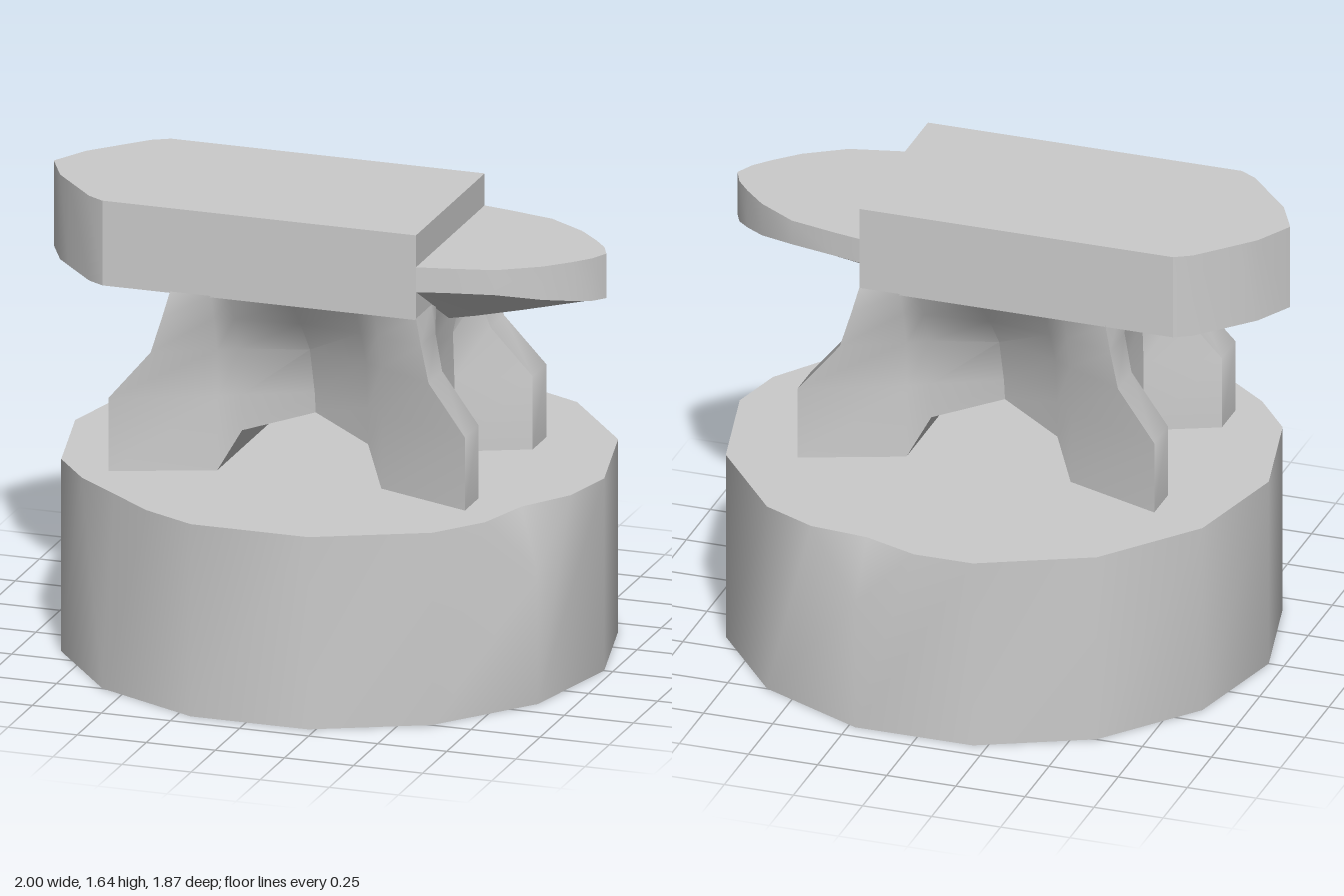
import * as THREE from 'three';
import { toCreasedNormals } from 'three/addons/utils/BufferGeometryUtils.js';

const material = new THREE.MeshStandardMaterial({ color: 0xcccccc });

// Mesh from a list of polygons (each a fan of [x, y, z] corners)
function polyMesh(name, polys, crease = 0.6) {
  const pos = [];
  const same = (a, b) => a.every((v, i) => Math.abs(v - b[i]) < 1e-6);
  for (const poly of polys) {
    const p = poly.filter((v, i) => !same(v, poly[(i + 1) % poly.length]));
    for (let i = 1; i + 1 < p.length; i++) pos.push(...p[0], ...p[i], ...p[i + 1]);
  }
  const geo = new THREE.BufferGeometry();
  geo.setAttribute('position', new THREE.Float32BufferAttribute(pos, 3));
  geo.computeVertexNormals();
  const mesh = new THREE.Mesh(toCreasedNormals(geo, crease), material);
  mesh.name = name;
  return mesh;
}

// Quads joining successive closed loops
function skin(loops) {
  const polys = [];
  for (let i = 0; i + 1 < loops.length; i++) {
    const a = loops[i], b = loops[i + 1], n = a.length;
    for (let j = 0; j < n; j++) {
      const k = (j + 1) % n;
      polys.push([a[j], a[k], b[k]], [a[j], b[k], b[j]]);
    }
  }
  return polys;
}

// Fourteen-sided stump with chipped corners
function makeStump() {
  const n = 14, r = 0.957, top = 0.692, cx = 0.012;
  const chips = { 2: { tip: 0.47, dent: 0.965 }, 6: { tip: 0.47, dent: 0.97 }, 12: { tip: 0, dent: 1 } };
  const at = (k, y) => {
    const t = (k + 0.5) * Math.PI * 2 / n;
    return [cx + r * Math.sin(t), y, r * Math.cos(t)];
  };
  const mix = (a, b, f) => a.map((v, i) => v + (b[i] - v) * f);
  const corners = [];
  for (let k = 0; k < n; k++) {
    const v = at(k, top), chip = chips[k];
    if (!chip) {
      corners.push({ base: at(k, 0), tip: v, a: v, m: v, b: v });
      continue;
    }
    const a = mix(v, at(k - 1, top), 0.5), b = mix(v, at(k + 1, top), 0.5);
    const m = mix(a, b, 0.5);
    corners.push({ base: at(k, 0), tip: at(k, chip.tip), a, b, m: [m[0] * chip.dent, top, m[2] * chip.dent] });
  }
  const polys = [];
  corners.forEach((c, k) => {
    const d = corners[(k + 1) % n];
    polys.push([c.base, d.base, d.tip, d.a, c.b, c.tip]);
    polys.push([c.tip, c.m, c.a], [c.tip, c.b, c.m]);
    for (const [p, q] of [[c.a, c.m], [c.m, c.b], [c.b, d.a]]) polys.push([[cx, top, 0], p, q]);
    polys.push([[cx, 0, 0], d.base, c.base]);
  });
  return polyMesh('stump', polys);
}

// Waisted body with four splayed feet, recessed ends and an arch through the middle
function makeBody() {
  const cx = -0.01;
  // y, end x, recess x, recess half width, foot inner and outer z, then side z toward the middle
  const rows = [
    [0.692, 0.645, 0.40, 0.17, 0.28, 0.42, 0.29, 0.23, 0.12],
    [0.955, 0.645, 0.40, 0.17, 0.28, 0.42, 0.28, 0.235, 0.13],
    [1.125, 0.503, 0.40, 0.155, 0.25, 0.39, 0.29, 0.25, 0.18],
    [1.25, 0.468, 0.43, 0.14, 0.22, 0.37, 0.325, 0.31, 0.28],
    [1.34, 0.445, 0.44, 0.13, 0.20, 0.355, 0.355, 0.355, 0.355],
  ];
  const loops = rows.map(([y, e, w, rz, zi, zo, s1, s2, s3], i) => {
    const arch = i === 0 ? [0.825, 0.88] : [y, y];
    const q = [[w, y, rz], [e, y, zi], [e, y, zo], [0.297, y, s1], [0.228, arch[0], s2], [0, arch[1], s3]];
    const flip = (sx, sz) => q.map(p => [cx + sx * p[0], p[1], sz * p[2]]);
    return [
      ...flip(-1, 1), ...flip(1, 1).slice(0, 5).reverse(),
      ...flip(1, -1), ...flip(-1, -1).slice(0, 5).reverse(),
    ];
  });
  const polys = skin(loops);
  // Underside of the arch and of the feet, spanning front to back
  const base = loops[0];
  for (let j = 0; j < 10; j++) polys.push([base[j + 1], base[j], base[21 - j], base[20 - j]]);
  return polyMesh('body', polys, 0.7);
}

// Flat working face with a rounded heel
function makeFace() {
  const half = [[-1, 0], [-0.93, 0.135], [-0.88, 0.19], [-0.76, 0.32], [-0.7, 0.355], [0.435, 0.355]];
  const outline = [...half, ...half.slice(1).reverse().map(([x, z]) => [x, -z])];
  const shape = new THREE.Shape(outline.map(p => new THREE.Vector2(...p)));
  const geo = new THREE.ExtrudeGeometry(shape, { depth: 0.305, bevelEnabled: false });
  geo.rotateX(-Math.PI / 2);
  geo.translate(0, 1.335, 0);
  const mesh = new THREE.Mesh(toCreasedNormals(geo, 0.5), material);
  mesh.name = 'face';
  return mesh;
}

// Tapering horn with a keeled underside
function makeHorn() {
  const top = 1.525;
  const sections = [ // x, half width, rim y, keel y
    [0.43, 0.355, 1.435, 1.23], [0.53, 0.335, 1.437, 1.25], [0.70, 0.295, 1.435, 1.29],
    [0.84, 0.205, 1.405, 1.325], [0.92, 0.125, 1.385, 1.345], [0.97, 0.065, 1.372, 1.358], [1, 0, 1.365, 1.365],
  ];
  const loops = sections.map(([x, w, rim, keel]) => [
    [x, top, w], [x, rim, w], [x, keel, 0], [x, rim, -w], [x, top, -w],
  ].reverse());
  // Going +x, the loop must run top-back, down, front, up
  const polys = skin(loops.map(l => [...l].reverse())).map(p => [...p].reverse());
  polys.push([...loops[0]].reverse());
  // Keep every face pointing away from the horn's core
  const v = p => new THREE.Vector3(...p);
  const core = v([0.65, 1.42, 0]);
  const fixed = polys.map(p => {
    const normal = v(p[1]).sub(v(p[0])).cross(v(p[2]).sub(v(p[0])));
    return normal.dot(v(p[0]).sub(core)) < 0 ? [...p].reverse() : p;
  });
  return polyMesh('horn', fixed, 0.6);
}

export function createModel() {
  const model = new THREE.Group();
  model.name = 'anvilOnStump';
  const anvil = new THREE.Group();
  anvil.name = 'anvil';
  anvil.position.z = 0.065;
  anvil.add(makeBody(), makeFace(), makeHorn());
  model.add(makeStump(), anvil);
  return model;
}
